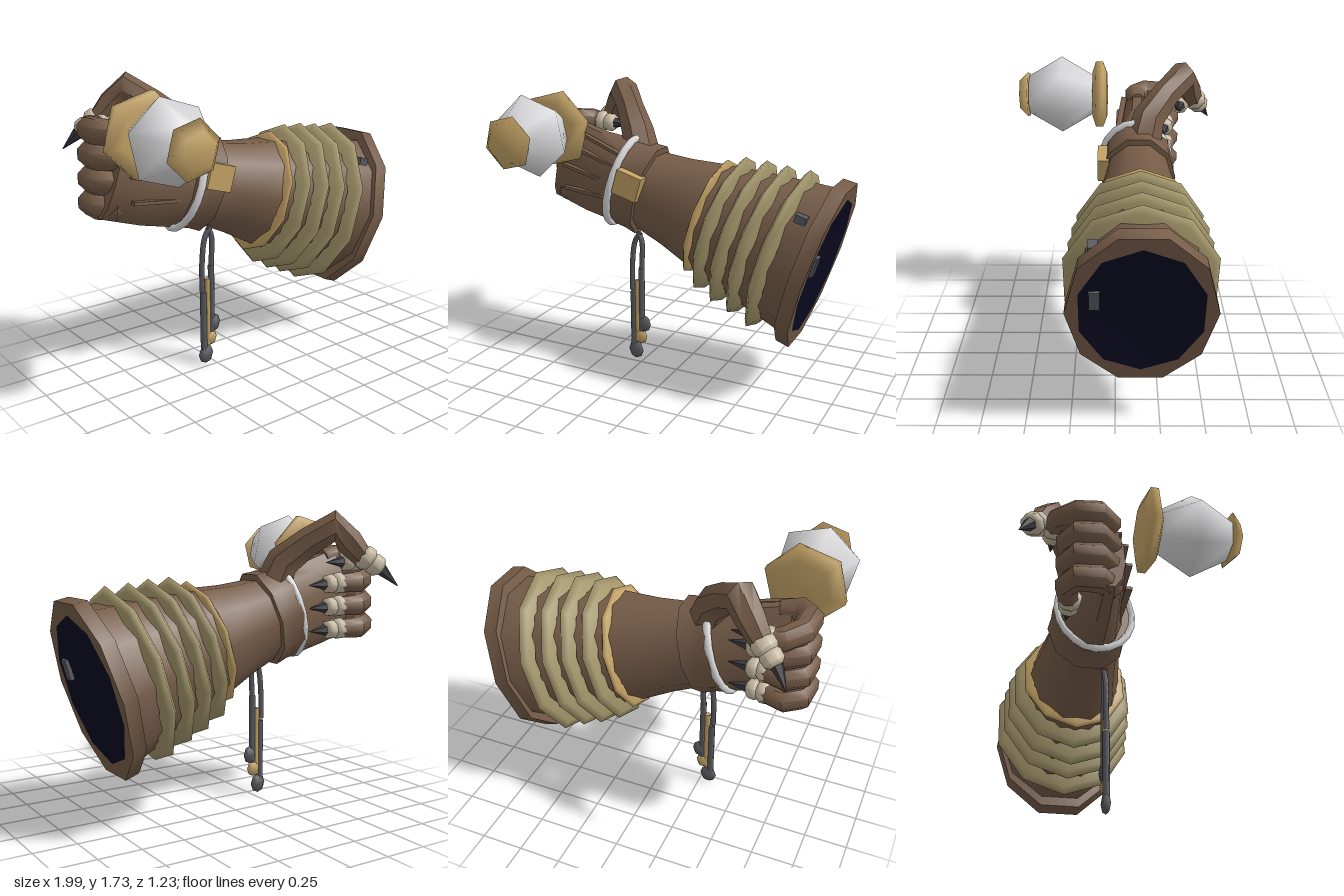
import * as THREE from 'three';
import { toCreasedNormals } from 'three/addons/utils/BufferGeometryUtils.js';

const mat = (name, color, side = THREE.FrontSide) => {
  const m = new THREE.MeshStandardMaterial({ color, side });
  m.name = name;
  return m;
};

// Profile [axial, radius] turned around x, flattened in z by ratio; crease 0 keeps it smooth
function ringX(profile, sides, phase, ratio, crease = 0.9) {
  const g = new THREE.LatheGeometry(profile.map(([s, r]) => new THREE.Vector2(r, s)), sides, phase);
  g.rotateZ(-Math.PI / 2);
  g.scale(1, 1, ratio);
  return crease ? toCreasedNormals(g, crease) : g;
}

// Closed sweep through stations [x, y, z, a, b]; a is the radius along ref, b across it
function sweep(stations, sides = 8, ref = [0, 1, 0], crease = 0.85) {
  const P = stations.map(s => new THREE.Vector3(s[0], s[1], s[2]));
  const pos = [], idx = [], last = P.length - 1;
  P.forEach((p, i) => {
    const T = P[Math.min(i + 1, last)].clone().sub(P[Math.max(i - 1, 0)]).normalize();
    const N = new THREE.Vector3(...ref);
    N.addScaledVector(T, -N.dot(T)).normalize();
    const B = T.clone().cross(N);
    const [, , , a, b = a] = stations[i];
    for (let j = 0; j < sides; j++) {
      const t = (j + 0.5) / sides * Math.PI * 2;
      const q = p.clone().addScaledVector(N, a * Math.cos(t)).addScaledVector(B, b * Math.sin(t));
      pos.push(q.x, q.y, q.z);
    }
  });
  const at = (i, j) => i * sides + j % sides;
  for (let i = 0; i < last; i++)
    for (let j = 0; j < sides; j++)
      idx.push(at(i, j), at(i, j + 1), at(i + 1, j + 1), at(i, j), at(i + 1, j + 1), at(i + 1, j));
  for (let j = 1; j < sides - 1; j++)
    idx.push(at(0, 0), at(0, j + 1), at(0, j), at(last, 0), at(last, j), at(last, j + 1));
  const g = new THREE.BufferGeometry();
  g.setAttribute('position', new THREE.Float32BufferAttribute(pos, 3));
  g.setIndex(idx);
  return toCreasedNormals(g, crease);
}

export function createModel() {
  const model = new THREE.Group();
  model.name = 'gauntlet';
  const leather = mat('brown leather', 0x765c48);
  const gold = mat('gold', 0xc2a165);
  const khaki = mat('khaki ridge', 0xa3966b);
  const white = mat('white', 0xdcdcde);
  const navy = mat('navy lining', 0x0a0a22, THREE.DoubleSide);
  const cream = mat('cream wrapping', 0xc6baa2);
  const dark = mat('dark claw', 0x3a3a40);
  const grey = mat('grey metal', 0x5a5b61);

  const add = (parent, name, geo, m) => {
    const mesh = new THREE.Mesh(geo, m);
    mesh.name = name;
    parent.add(mesh);
    return mesh;
  };

  // Tilted sleeve, built along its own x axis from the wrist
  const arm = new THREE.Group();
  arm.name = 'sleeve';
  arm.position.set(-0.24, 1.1, -0.137);
  arm.rotation.z = -0.285;
  model.add(arm);
  add(arm, 'forearm', ringX([[-0.02, 0.25], [0.18, 0.282], [0.38, 0.33], [0.7, 0.395], [1.07, 0.46]], 10, 0, 0.81), leather);
  add(arm, 'cuffLip', ringX([[1.05, 0.43], [1.06, 0.52], [1.145, 0.525]], 10, 0, 0.76), leather);
  add(arm, 'cuffLining', ringX([[1.145, 0.432], [1.125, 0.25], [1.115, 0]], 10, Math.PI / 10, 0.79, 0), navy);

  // Flat rim between the cuff edge and the lining
  const decagon = (r, ratio, phase) => Array.from({ length: 10 }, (_, i) => {
    const t = i * Math.PI / 5 + phase;
    return new THREE.Vector2(r * ratio * Math.cos(t), r * Math.sin(t));
  });
  const rim = new THREE.Shape(decagon(0.525, 0.76, 0));
  rim.holes.push(new THREE.Path(decagon(0.432, 0.79, Math.PI / 10)));
  add(arm, 'cuffRim', new THREE.ShapeGeometry(rim).rotateY(Math.PI / 2), leather).position.x = 1.145;

  add(arm, 'wristBand', ringX([[-0.17, 0.2], [-0.165, 0.285], [-0.08, 0.282], [0, 0.292], [0.01, 0.22]], 10, 0, 0.78), leather);

  // Sharp ridges: axial position, radius
  [[0.515, 0.44], [0.64, 0.47], [0.76, 0.488], [0.895, 0.515]].forEach(([s, r], i) =>
    add(arm, 'ridge' + (i + 1), ringX([[s - 0.045, r - 0.1], [s - 0.025, r - 0.04], [s, r], [s + 0.025, r - 0.04], [s + 0.045, r - 0.1]],
      10, Math.PI / 10, 0.84, 0), khaki).position.y = -0.007);
  add(arm, 'goldRing', ringX([[0.39, 0.31], [0.4, 0.355], [0.415, 0.375], [0.43, 0.355], [0.44, 0.31]], 10, Math.PI / 10, 0.85, 0), gold);

  const cord = new THREE.TorusGeometry(0.284, 0.024, 6, 20);
  cord.rotateY(Math.PI / 2);
  cord.scale(1, 1, 0.76);
  add(arm, 'wristCord', cord, white).position.set(-0.17, 0, 0.015);
  add(arm, 'wristClasp', new THREE.BoxGeometry(0.165, 0.15, 0.07), gold).position.set(-0.06, 0.065, 0.21);
  add(arm, 'outerStud', new THREE.BoxGeometry(0.065, 0.045, 0.05), grey).position.set(0.99, 0.315, 0.25);
  add(arm, 'innerStud', new THREE.BoxGeometry(0.03, 0.12, 0.055), grey).position.set(1.138, 0.09, 0.242);

  // Hand
  const hand = new THREE.Group();
  hand.name = 'hand';
  model.add(hand);
  add(hand, 'palm', sweep([[-0.34, 1.12, -0.14, 0.27, 0.2], [-0.42, 1.14, -0.14, 0.275, 0.17],
    [-0.62, 1.18, -0.135, 0.27, 0.125], [-0.84, 1.25, -0.14, 0.27, 0.095]], 12), leather);
  [[-0.78, 1.09, -0.4, 1.05, -0.012], [-0.78, 1.235, -0.4, 1.14, -0.01], [-0.76, 1.37, -0.38, 1.24, -0.025], [-0.74, 1.46, -0.37, 1.33, -0.055]]
    .forEach(([x0, y0, x1, y1, z]) =>
      add(hand, 'backTendon', sweep([[x0, y0, z, 0.014, 0.025], [x1, y1, -0.01, 0.014, 0.025]], 4), leather));

  // Wrapped fingertip from a to b, with a claw on to c
  const tip = (name, a, b, c, r) => {
    const A = new THREE.Vector3(...a), B = new THREE.Vector3(...b);
    const ref = [0.5, 0.2, -1];
    const roll = [[0, 0.8], [0.12, 1.05], [0.38, 1.05], [0.5, 0.82], [0.6, 0.95], [0.88, 0.9], [1, 0.6]]
      .map(([t, k]) => [...A.clone().lerp(B, t).toArray(), r * k]);
    add(hand, name + 'Wrapping', sweep(roll, 8, ref), cream);
    add(hand, name + 'Claw', sweep([[...b, r * 0.55], [...c, 0.002]], 6, ref), dark);
  };

  // Four curled fingers; the index sits furthest back, the others tuck into the palm
  for (let i = 0; i < 4; i++) {
    const y = 1.05 + 0.137 * i, dx = 0.006 * i;
    const zt = i === 3 ? -0.415 : -0.315, xt = i === 3 ? -0.05 : 0;
    add(hand, 'finger' + (i + 1), sweep([[-0.72 + dx, y - 0.01, -0.14, 0.05], [-0.83 + dx, y, -0.125, 0.07],
      [-0.893 + dx, y + 0.005, -0.19, 0.075, 0.068], [-0.885 + dx, y, -0.31, 0.072, 0.068],
      [-0.815 + dx, y - 0.01, (zt - 0.39) / 2, 0.068, 0.062], [-0.69 + dx + xt, y - 0.02, zt, 0.055]], 8), leather);
    tip('finger' + (i + 1), [-0.73 + dx + xt, y - 0.015, zt], [-0.6 + dx + xt, y - 0.022, zt + 0.01],
      [-0.49 + dx + xt, y - 0.025, zt + 0.015], 0.062);
  }

  // Thumb arching up and over the back
  add(hand, 'thumb', sweep([[-0.31, 1.3, -0.17, 0.11], [-0.36, 1.44, -0.2, 0.1], [-0.47, 1.56, -0.31, 0.085],
    [-0.57, 1.645, -0.415, 0.092], [-0.64, 1.56, -0.455, 0.08], [-0.72, 1.46, -0.495, 0.06]], 7, [1, 0, -1]), leather);
  tip('thumb', [-0.7, 1.485, -0.49], [-0.81, 1.395, -0.55], [-0.885, 1.3, -0.612], 0.068);

  // Faceted orb with its two mounts, turned around z
  const orb = new THREE.Group();
  orb.name = 'orb';
  orb.position.set(-0.765, 1.478, 0);
  model.add(orb);
  const turnZ = (profile, deg) => {
    const g = new THREE.LatheGeometry(profile.map(([z, r]) => new THREE.Vector2(r, z)), 6, deg * Math.PI / 180);
    return g.rotateX(Math.PI / 2);
  };
  add(orb, 'crystal', turnZ([[0.135, 0], [0.14, 0.12], [0.345, 0.24], [0.555, 0.12], [0.56, 0]], 12), white);
  add(orb, 'frontMount', turnZ([[0.555, 0], [0.56, 0.158], [0.615, 0.1], [0.616, 0]], 45), gold);
  add(orb, 'backMount', turnZ([[0.05, 0], [0.055, 0.16], [0.08, 0.235], [0.125, 0.235], [0.148, 0.16], [0.152, 0]], 45), gold);

  // Hanging tassel under the wrist
  const tassel = new THREE.Group();
  tassel.name = 'tassel';
  tassel.position.z = -0.039;
  model.add(tassel);
  const strand = (name, pts) => add(tassel, name, new THREE.TubeGeometry(
    new THREE.CatmullRomCurve3(pts.map(([x, y]) => new THREE.Vector3(x, y, 0))), 12, 0.016, 6), grey);
  strand('leftStrand', [[-0.26, 0.86], [-0.3, 0.8], [-0.322, 0.66], [-0.325, 0.47]]);
  strand('rightStrand', [[-0.28, 0.86], [-0.255, 0.8], [-0.255, 0.68], [-0.265, 0.54]]);
  const bar = (name, x, y0, y1, r, m) =>
    add(tassel, name, new THREE.CylinderGeometry(r, r, y1 - y0, 6), m).position.set(x, (y0 + y1) / 2, 0);
  bar('leftBar', -0.318, 0.06, 0.46, 0.02, grey);
  bar('goldBar', -0.289, 0.12, 0.54, 0.018, gold);
  bar('rightBar', -0.26, 0.2, 0.62, 0.019, grey);
  const bead = (name, x, y, rx, ry, m) => {
    const g = new THREE.SphereGeometry(1, 6, 4);
    g.scale(rx, ry, 0.026);
    add(tassel, name, g, m).position.set(x, y, 0);
  };
  bead('lowerBead', -0.305, 0.06, 0.052, 0.06, grey);
  bead('goldBead', -0.268, 0.16, 0.043, 0.05, gold);
  bead('upperBead', -0.242, 0.25, 0.043, 0.055, grey);

  return model;
}
